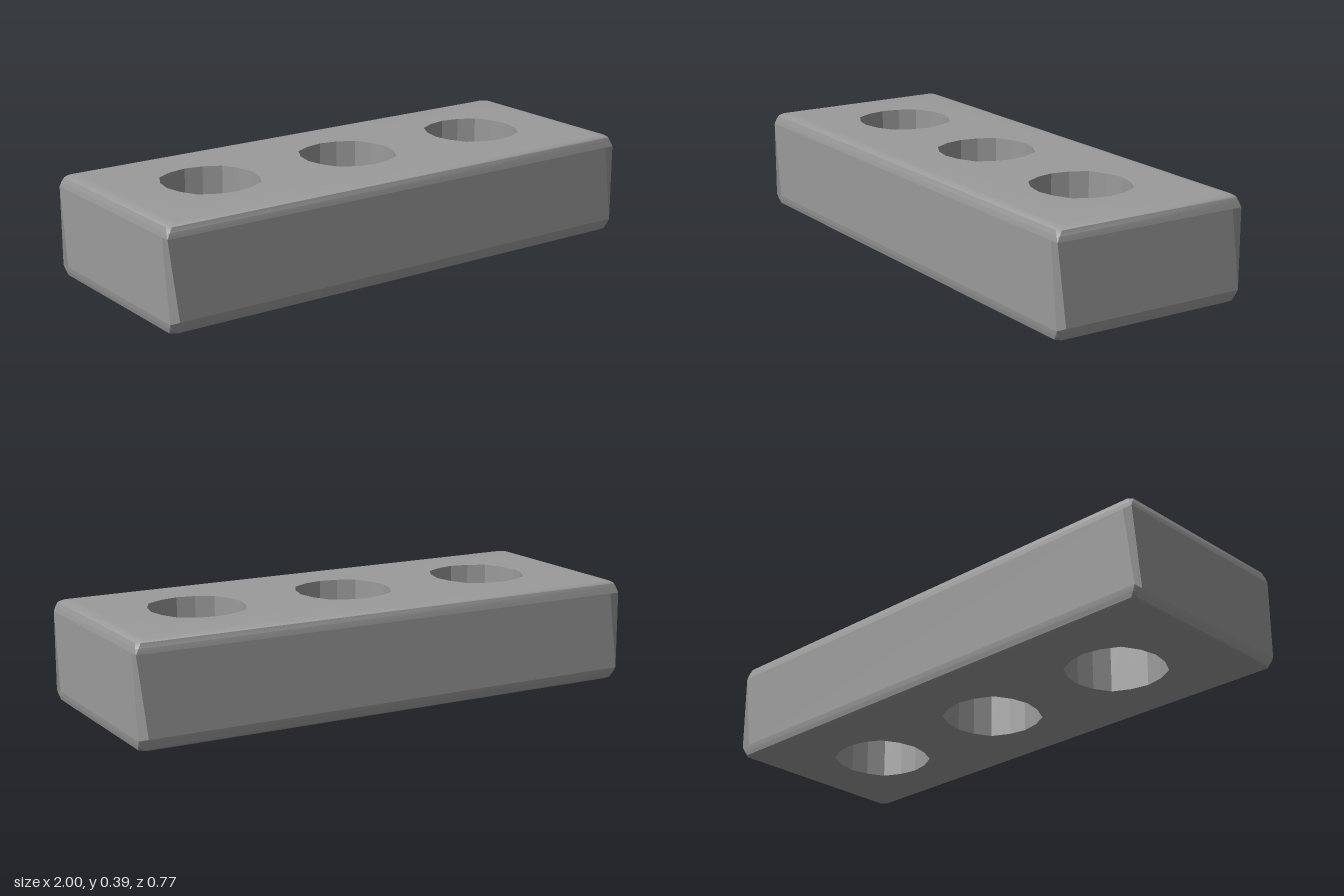
import * as THREE from 'three';
import { mergeGeometries, toCreasedNormals } from 'three/addons/utils/BufferGeometryUtils.js';

const X = 1, Z = 0.383, H = 0.39;   // half length, half depth, height
const HOLES = [-0.6, 0, 0.6];
const CUT = 0.038;                  // offset of the slanted corner bands
// rounded edge: inset from the side, height, corner cut
const EDGE = [[0, 0.343, 0], [0.003, 0.363, 0.008], [0.008, 0.38, 0.014], [0.02, 0.387, 0.016], [0.043, H, 0.016]];
const TOP = EDGE[0][1], LOW = H - TOP;
const SIGNS = [[-1, 1], [1, 1], [1, -1], [-1, -1]];

// eight-sided outline at a level of the rounded edge
function ring([inset, y, cut], isTop) {
  const x = X - inset, z = Z - inset, h = isTop ? y : H - y;
  return SIGNS.flatMap(([sx, sz]) => {
    const pair = [new THREE.Vector3(sx * (x - cut), h, sz * z), new THREE.Vector3(sx * x, h, sz * (z - cut))];
    return sx * sz > 0 ? pair : pair.reverse();
  });
}

const quad = (out, a, b, c, d) => out.push(a, b, c, a, c, d);

const fromPoints = (points) => new THREE.BufferGeometry().setFromPoints(points);

// sixteen-sided hole outline, a little fuller on the diagonals
function holeOutline(cx) {
  const pts = [];
  for (let i = 0; i < 16; i++) {
    const t = -i / 16 * Math.PI * 2, r = i % 4 === 2 ? 0.186 : 0.178;
    pts.push(new THREE.Vector2(cx + r * Math.cos(t), r * Math.sin(t)));
  }
  return pts;
}

// flat cap with the three holes, facing +z before it is turned
function cap() {
  const outline = ring(EDGE[EDGE.length - 1], true).map(p => new THREE.Vector2(p.x, -p.z));
  const shape = new THREE.Shape(outline);
  shape.holes = HOLES.map(cx => new THREE.Path(holeOutline(cx)));
  const g = new THREE.ShapeGeometry(shape).toNonIndexed();
  g.deleteAttribute('uv');
  g.deleteAttribute('normal');
  return g;
}

// cap plus rounded rim, for the top or the bottom
function roundedFace(isTop) {
  const pts = [];
  for (let k = 0; k < EDGE.length - 1; k++) {
    const a = ring(EDGE[k], isTop), b = ring(EDGE[k + 1], isTop);
    for (let i = 0; i < 8; i++) {
      const j = (i + 1) % 8;
      if (isTop) quad(pts, a[i], a[j], b[j], b[i]);
      else quad(pts, b[i], b[j], a[j], a[i]);
    }
  }
  const face = cap().rotateX(isTop ? -Math.PI / 2 : Math.PI / 2).translate(0, isTop ? H : 0, 0);
  return toCreasedNormals(mergeGeometries([fromPoints(pts), face]), 0.75);
}

// four slanted panels and the softly shaded bands that wrap the corners
function walls() {
  const panels = [], bands = [];
  const corners = (y) => SIGNS.map(([sx, sz]) => new THREE.Vector3(sx * X, y, sz * Z));
  const lo = corners(LOW), hi = corners(TOP);
  const step = (from, to) => from.clone().add(to.clone().sub(from).setLength(CUT));
  for (let i = 0; i < 4; i++) {
    const j = (i + 1) % 4, k = (i + 2) % 4;
    const topIn = step(hi[j], hi[i]), nextLow = step(lo[j], lo[k]);
    quad(panels, step(lo[i], lo[j]), lo[j], topIn, hi[i]);
    bands.push(topIn, lo[j], hi[j], lo[j], nextLow, hi[j]);
  }
  const panelGeometry = fromPoints(panels);
  panelGeometry.computeVertexNormals();
  // band normals point diagonally out of each corner
  const diagonals = bands.flatMap(p => [Math.sign(p.x) * Math.SQRT1_2, 0, Math.sign(p.z) * Math.SQRT1_2]);
  const bandGeometry = fromPoints(bands);
  bandGeometry.setAttribute('normal', new THREE.Float32BufferAttribute(diagonals, 3));
  return mergeGeometries([panelGeometry, bandGeometry]);
}

// faceted inside of one through hole
function holeWall(cx) {
  const pts = [], outline = holeOutline(cx);
  const at = (i, y) => new THREE.Vector3(outline[i].x, y, -outline[i].y);
  outline.forEach((_, i) => {
    const j = (i + 1) % outline.length;
    quad(pts, at(i, 0), at(j, 0), at(j, H), at(i, H));
  });
  const g = fromPoints(pts);
  g.computeVertexNormals();
  return g;
}

export function createModel() {
  const group = new THREE.Group();
  group.name = 'brick';
  const grey = new THREE.MeshStandardMaterial({ color: 0x9b9b9b });
  const add = (name, geometry) => {
    const mesh = new THREE.Mesh(geometry, grey);
    mesh.name = name;
    group.add(mesh);
  };

  add('topFace', roundedFace(true));
  add('bottomFace', roundedFace(false));
  add('walls', walls());
  HOLES.forEach((x, i) => add('holeWall' + (i + 1), holeWall(x)));
  return group;
}
